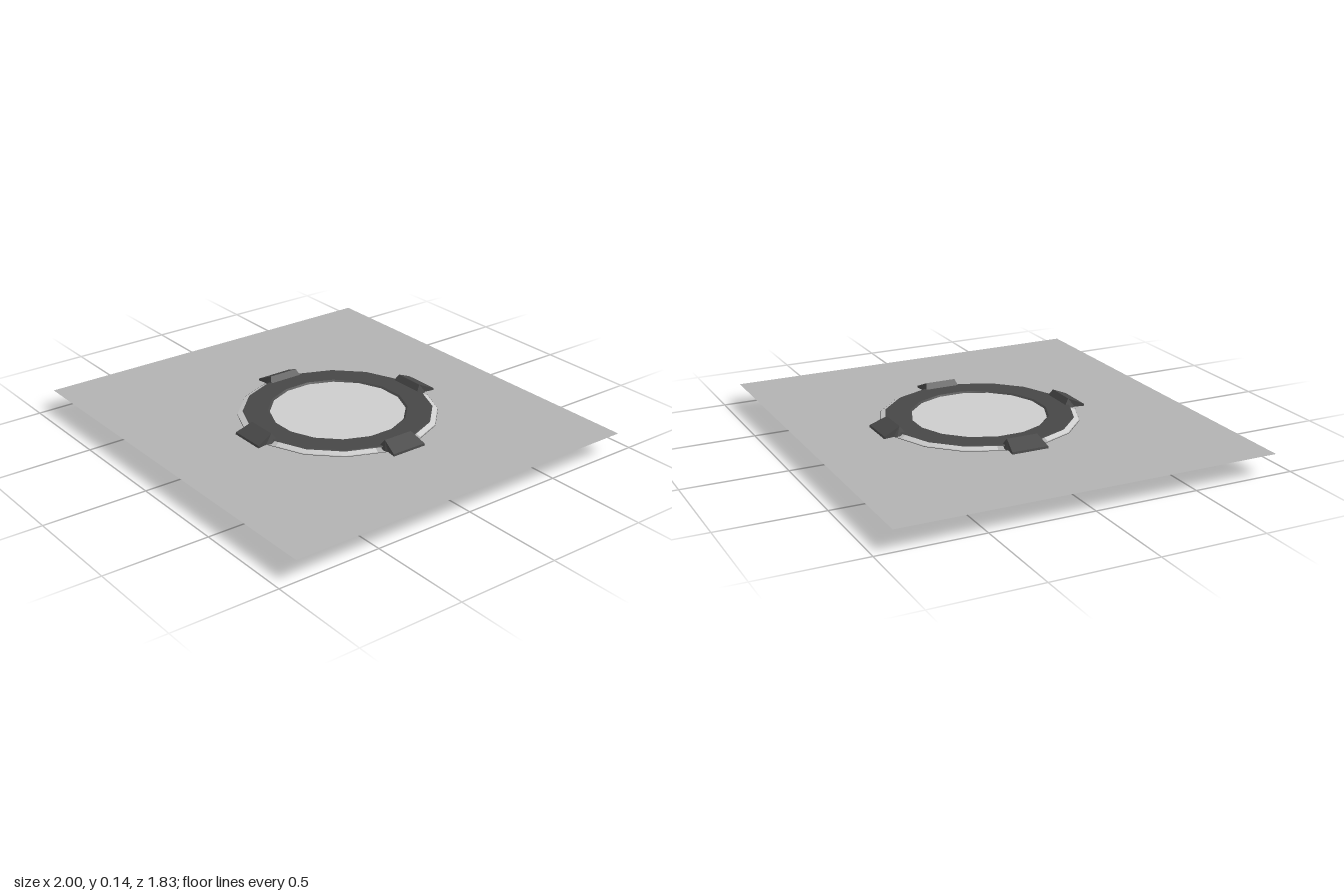
import * as THREE from 'three';

const SIDES = 16;
const STEP = (Math.PI * 2) / SIDES;

const mat = (name, color) =>
  new THREE.MeshStandardMaterial({ name, color, side: THREE.DoubleSide });

function part(name, geometry, material) {
  const mesh = new THREE.Mesh(geometry, material);
  mesh.name = name;
  return mesh;
}

// Sixteen-sided band with flats on the axes; profile is [flat radius, height]
function band(profile) {
  const k = 1 / Math.cos(STEP / 2);
  const points = profile.map(([r, y]) => new THREE.Vector2(r * k, y));
  return new THREE.LatheGeometry(points, SIDES, STEP / 2);
}

// Sloping strip that follows the polygon between two clamps
function stripGeometry() {
  const angles = [15.5, 33.75, 56.25, 74.5].map(THREE.MathUtils.degToRad);
  const positions = [];
  const index = [];
  angles.forEach((a, i) => {
    const k = 1 / Math.cos(a - Math.round(a / STEP) * STEP);
    for (const [r, y] of [[0.464, 0.102], [0.44, 0.113]]) {
      positions.push(Math.sin(a) * r * k, y, Math.cos(a) * r * k);
    }
    if (i < 3) {
      const n = i * 2;
      index.push(n, n + 2, n + 1, n + 2, n + 3, n + 1);
    }
  });
  const geometry = new THREE.BufferGeometry();
  geometry.setAttribute('position', new THREE.Float32BufferAttribute(positions, 3));
  geometry.setIndex(index);
  geometry.computeVertexNormals();
  return geometry;
}

// Hooked clamp: side profile extruded, then narrowed toward the top
function clampGeometry() {
  const profile = [[0.5, 0], [0.545, 0], [0.52, 0.108], [0.44, 0.143], [0.418, 0.113], [0.46, 0.09]];
  const shape = new THREE.Shape(profile.map(([r, y]) => new THREE.Vector2(r, y)));
  const geometry = new THREE.ExtrudeGeometry(shape, { depth: 2, bevelEnabled: false });
  geometry.translate(0, 0, -1);
  const p = geometry.attributes.position;
  for (let i = 0; i < p.count; i++) {
    const y = p.getY(i);
    const half = y < 0.108 ? 0.098 - y * 0.07 : 0.09 - (y - 0.108) * 0.4;
    p.setZ(i, p.getZ(i) * half);
  }
  geometry.computeVertexNormals();
  return geometry;
}

export function createModel() {
  const model = new THREE.Group();
  model.name = 'ceilingLight';

  const panelGray = mat('panelGray', 0xb2b2b2);
  const lensGray = mat('lensGray', 0xcccccc);
  const darkMetal = mat('darkMetal', 0x474747);

  // Flat square panel that carries the fixture
  const panel = new THREE.PlaneGeometry(2, 1.83).rotateX(-Math.PI / 2);
  panel.translate(0, 0.098, 0);
  model.add(part('panel', panel, panelGray));

  // Fixture sits slightly off the panel centre
  const fixture = new THREE.Group();
  fixture.name = 'fixture';
  fixture.position.set(0.031, 0, -0.041);
  model.add(fixture);

  // Skirt, flat top ring and inner lip
  fixture.add(part('skirt', band([[0.5, 0], [0.49, 0.05], [0.467, 0.1]]), darkMetal));
  fixture.add(part('topRing', band([[0.442, 0.112], [0.436, 0.116], [0.325, 0.114]]), darkMetal));
  fixture.add(part('innerLip', band([[0.325, 0.114], [0.315, 0.106]]), darkMetal));

  // Lens in the middle
  const lens = new THREE.CircleGeometry(0.325, SIDES, STEP / 2).rotateX(-Math.PI / 2);
  lens.translate(0, 0.107, 0);
  fixture.add(part('lens', lens, lensGray));

  // Four rim strips and four clamps
  const strip = stripGeometry();
  const clamp = clampGeometry();
  for (let i = 0; i < 4; i++) {
    const rimStrip = part('rimStrip', strip, lensGray);
    const rimClamp = part('clamp', clamp, darkMetal);
    rimStrip.rotation.y = rimClamp.rotation.y = (i * Math.PI) / 2;
    fixture.add(rimStrip, rimClamp);
  }
  return model;
}
